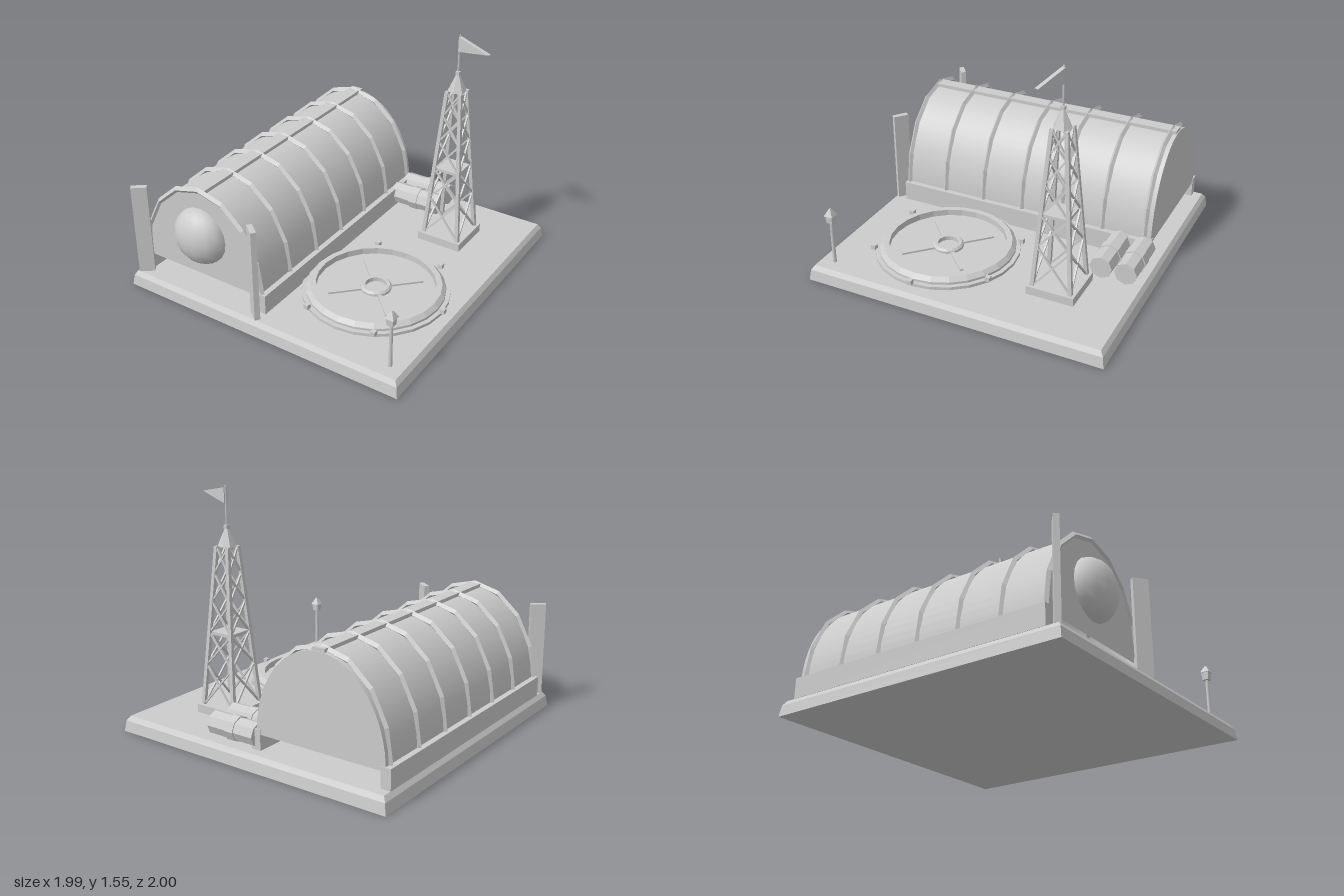
import * as THREE from 'three';

const grey = new THREE.MeshStandardMaterial({ color: 0xcccccc });
grey.name = 'lightGrey';
grey.side = THREE.DoubleSide;

function add(parent, name, geo, x = 0, y = 0, z = 0, flat = false) {
  const mesh = new THREE.Mesh(flat ? faceted(geo) : geo, grey);
  mesh.name = name;
  mesh.position.set(x, y, z);
  parent.add(mesh);
  return mesh;
}

// Flat faces without a second material
function faceted(geo) {
  const g = geo.index ? geo.toNonIndexed() : geo;
  g.computeVertexNormals();
  return g;
}

function group(parent, name, x = 0, y = 0, z = 0) {
  const g = new THREE.Group();
  g.name = name;
  g.position.set(x, y, z);
  parent.add(g);
  return g;
}

const box = (w, h, d) => new THREE.BoxGeometry(w, h, d);
const cyl = (r1, r2, h, n, open = false) => new THREE.CylinderGeometry(r1, r2, h, n, 1, open);
// Square frustum aligned to the axes, given half widths
const frustum = (top, bottom, h) => cyl(top * Math.SQRT2, bottom * Math.SQRT2, h, 4).rotateY(Math.PI / 4);

// Square bar between two points
function bar(parent, name, a, b, w) {
  const dir = b.clone().sub(a);
  const mesh = add(parent, name, box(w, dir.length(), w));
  mesh.position.copy(a).add(b).multiplyScalar(0.5);
  mesh.quaternion.setFromUnitVectors(new THREE.Vector3(0, 1, 0), dir.normalize());
}

function buildBase(root) {
  const base = group(root, 'base', 0, 0, -0.005);
  add(base, 'baseSlab', frustum(0.985, 0.995, 0.07), 0, 0.035, 0, true);
  add(base, 'baseBevel', frustum(0.965, 0.985, 0.03), 0, 0.085, 0, true);
}

function buildHangar(root) {
  const hangar = group(root, 'hangar', -0.482, 0, 0);
  // Half-elliptical vault with closed ends
  const vault = new THREE.CylinderGeometry(1, 1, 1.77, 32, 1, false, Math.PI / 2, Math.PI);
  vault.rotateX(Math.PI / 2).scale(0.45, 0.59, 1);
  add(hangar, 'vault', vault, 0, 0.2, -0.02);
  add(hangar, 'backRim', box(0.9, 0.03, 0.03), 0, 0.215, -0.89);
  // Roof ribs
  for (let i = -3; i <= 3; i++) {
    const rib = new THREE.TorusGeometry(0.456, 0.017, 4, 8, Math.PI);
    add(hangar, 'rib', rib.scale(1, 1.322, 1), 0, 0.2, i * 0.287, true);
  }
  add(hangar, 'ridge', box(0.085, 0.03, 1.76), 0, 0.795, -0.02);
  for (const s of [-1, 1]) {
    add(hangar, 'sideWall', box(0.065, 0.13, 1.79), s * 0.453, 0.165, -0.015);
    // Opened doors standing at an angle
    const door = add(hangar, 'door', box(0.1, 0.62, 0.035), s * 0.439, 0.41, 0.92);
    door.rotation.y = -s * 0.66;
  }
  // Domed front
  const dome = new THREE.SphereGeometry(0.19, 14, 10);
  add(hangar, 'frontDome', dome.scale(1, 1, 0.73), 0, 0.49, 0.86);
}

function buildBarrels(root) {
  for (const z of [-0.87, -0.708]) {
    const barrel = group(root, 'barrel', 0.152, 0.18, z);
    add(barrel, 'drum', cyl(0.074, 0.074, 0.345, 8).rotateZ(Math.PI / 2), 0, 0, 0, true);
    add(barrel, 'band', cyl(0.081, 0.081, 0.06, 8).rotateZ(Math.PI / 2), 0, 0, 0, true);
  }
}

function buildTower(root) {
  const tower = group(root, 'tower', 0.51, 0, -0.517);
  const y0 = 0.15, y1 = 1.18;
  const half = (y) => THREE.MathUtils.mapLinear(y, y0, y1, 0.125, 0.046);
  add(tower, 'footing', box(0.31, 0.055, 0.31), 0, 0.1275, 0);
  const corner = (k, y) => {
    const a = Math.PI / 4 + k * Math.PI / 2, r = half(y) * Math.SQRT2;
    return new THREE.Vector3(r * Math.cos(a), y, r * Math.sin(a));
  };
  // Four legs with crossed braces on each side
  const levels = [y0, 0.42, 0.63, 0.83, 1.01, y1];
  for (let k = 0; k < 4; k++) {
    bar(tower, 'leg', corner(k, y0), corner(k, y1), 0.024);
    for (let i = 0; i < levels.length - 1; i++) {
      bar(tower, 'brace', corner(k, levels[i]), corner(k + 1, levels[i + 1]), 0.011);
      bar(tower, 'brace', corner(k + 1, levels[i]), corner(k, levels[i + 1]), 0.011);
    }
  }
  add(tower, 'platform', box(0.165, 0.02, 0.165), 0, 0.625, 0);
  add(tower, 'roof', cyl(0.012, 0.06, 0.11, 6), 0, 1.235, 0, true);
  add(tower, 'finial', box(0.026, 0.024, 0.026), 0, 1.3, 0);
  add(tower, 'mast', cyl(0.006, 0.006, 0.27, 6), 0, 1.42, 0);
  // Pennant
  const shape = new THREE.Shape([[0, 1.545], [0, 1.447], [0.238, 1.495]].map(([x, y]) => new THREE.Vector2(x, y)));
  const flag = new THREE.ExtrudeGeometry(shape, { depth: 0.025, bevelEnabled: false });
  add(tower, 'pennant', flag.translate(0, 0, -0.0125)).rotation.y = -0.25;
}

function buildPad(root) {
  const pad = group(root, 'landingPad', 0.43, 0.1, 0.3);
  add(pad, 'padDisc', cyl(0.468, 0.468, 0.02, 24), 0, 0.01, 0, true);
  const ring = (pts, n) => new THREE.LatheGeometry(pts.map(([x, y]) => new THREE.Vector2(x, y)), n);
  add(pad, 'padRim', ring([[0.44, 0.02], [0.44, 0.035], [0.415, 0.062], [0.378, 0.062], [0.378, 0.02]], 24), 0, 0, 0, true);
  add(pad, 'hub', ring([[0.1, 0.02], [0.1, 0.035], [0.088, 0.048], [0.066, 0.048], [0.066, 0.02]], 16), 0, 0, 0, true);
  // Diagonal markings
  for (let k = 0; k < 4; k++) {
    const a = Math.PI / 4 + k * Math.PI / 2;
    const spoke = add(pad, 'spoke', box(0.22, 0.012, 0.025), 0.195 * Math.cos(a), 0.026, 0.195 * Math.sin(a));
    spoke.rotation.y = -a;
  }
  // Edge lights
  for (let k = 0; k < 6; k++) {
    const a = k * Math.PI / 3;
    add(pad, 'edgeLight', box(0.032, 0.03, 0.032), 0.475 * Math.cos(a), 0.035, 0.475 * Math.sin(a));
  }
}

function buildLamp(root) {
  const lamp = group(root, 'lampPost', 0.878, 0, 0.87);
  add(lamp, 'post', cyl(0.01, 0.012, 0.3, 8), 0, 0.25, 0);
  add(lamp, 'lantern', frustum(0.024, 0.02, 0.05), 0, 0.415, 0, true);
  add(lamp, 'lanternCap', frustum(0.006, 0.03, 0.045), 0, 0.462, 0, true);
}

export function createModel() {
  const root = new THREE.Group();
  root.name = 'hangarOutpost';
  buildBase(root);
  buildHangar(root);
  buildBarrels(root);
  buildTower(root);
  buildPad(root);
  buildLamp(root);
  return root;
}
